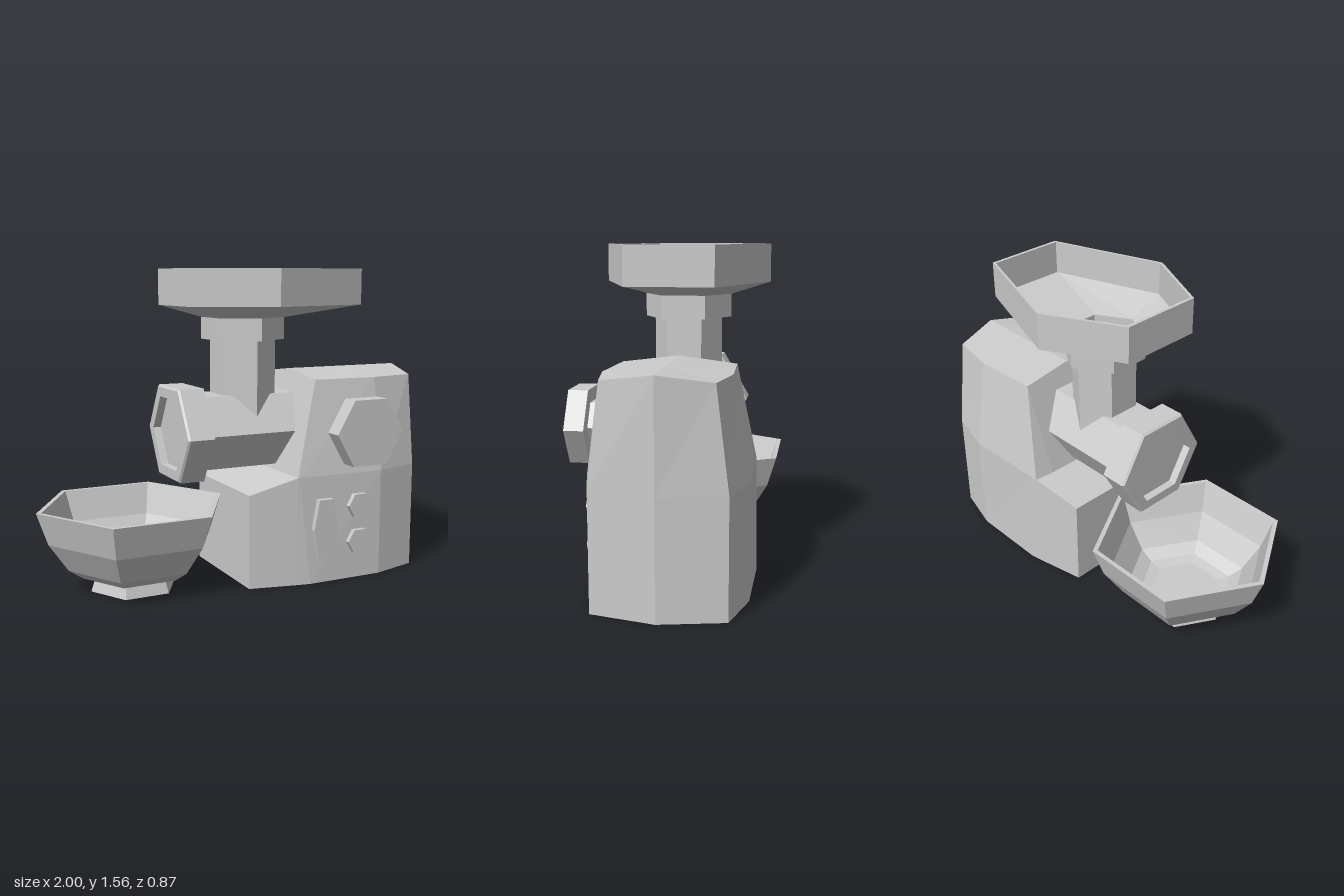
import * as THREE from 'three';

const solid = new THREE.MeshStandardMaterial({ color: 0xcccccc, flatShading: true });
const open = new THREE.MeshStandardMaterial({ color: 0xcccccc, flatShading: true, side: THREE.DoubleSide });
const ZC = -0.015; // middle plane of the machine

function add(group, name, geometry, material, x = 0, y = 0, z = 0) {
  const mesh = new THREE.Mesh(geometry, material);
  mesh.name = name;
  mesh.position.set(x, y, z);
  group.add(mesh);
  return mesh;
}

// Skin over a list of equal-length closed rings of [x, y, z]
function loft(rings, capStart = false) {
  const n = rings[0].length, index = [];
  for (let i = 0; i < rings.length - 1; i++) {
    for (let j = 0; j < n; j++) {
      const a = i * n + j, b = i * n + (j + 1) % n;
      index.push(a, a + n, b + n, a, b + n, b);
    }
  }
  if (capStart) for (let j = 1; j < n - 1; j++) index.push(0, j, j + 1);
  const g = new THREE.BufferGeometry();
  g.setAttribute('position', new THREE.Float32BufferAttribute(rings.flat(2), 3));
  g.setIndex(index);
  g.computeVertexNormals();
  return g;
}

// Six-sided lathe with a corner on +z, or on +x when start is a quarter turn
const hexLathe = (profile, start = 0) =>
  new THREE.LatheGeometry(profile.map(([r, y]) => new THREE.Vector2(r, y)), 6, start);

// Hexagonal prism along z with corners on the x axis
const hexPrismZ = (r, depth) =>
  new THREE.CylinderGeometry(r, r, depth, 6).rotateY(Math.PI / 2).rotateX(Math.PI / 2);

// Body section: [x, y, half width] for base, waist, shoulder, ridge
function bodyRing(base, waist, shoulder, ridge) {
  const side = [base, waist, shoulder];
  const at = s => ([x, y, w]) => [x, y, ZC + s * w];
  return [...side.map(at(1)), [ridge[0], ridge[1], ZC], ...side.reverse().map(at(-1))];
}

export function createModel() {
  const model = new THREE.Group();

  // Motor housing, stepped at the left of the front view and pointed at the other end
  add(model, 'body', loft([
    bodyRing([-0.03, 0, 0.3], [-0.03, 0.47, 0.3], [-0.03, 0.47, 0.2], [-0.03, 0.47]),
    bodyRing([0.21, 0, 0.352], [0.21, 0.545, 0.352], [0.21, 0.545, 0.25], [0.21, 0.545]),
    bodyRing([0.28, 0, 0.365], [0.22, 0.545, 0.353], [0.35, 1.015, 0.27], [0.36, 1.05]),
    bodyRing([0.69, 0, 0.365], [0.69, 0.545, 0.365], [0.69, 1.015, 0.287], [0.69, 1.05]),
    bodyRing([0.935, 0, 0.3], [0.935, 0.545, 0.3], [0.935, 1.015, 0.243], [0.935, 1.05]),
    bodyRing([1, 0, 0], [1, 0.545, 0], [1, 1.05, 0], [1, 1.05]),
  ], true), solid);

  // Horizontal grinding barrel and its end ring
  add(model, 'barrel', new THREE.CylinderGeometry(0.21, 0.21, 0.73, 6).rotateZ(Math.PI / 2),
    solid, 0.075, 0.755, ZC);
  add(model, 'barrelRing', hexLathe([
    [0.2, 0.195], [0.265, 0.195], [0.265, 0.32], [0.255, 0.33], [0.2, 0.33], [0.2, 0.195],
  ]).rotateZ(Math.PI / 2), open, 0, 0.755, ZC);

  // Feed neck with stepped collar, hollow
  add(model, 'feedNeck', hexLathe([
    [0.15, 0.8], [0.165, 0.8], [0.165, 1.21], [0.21, 1.21], [0.21, 1.32],
    [0.195, 1.32], [0.195, 1.22], [0.15, 1.22], [0.15, 0.8],
  ]), open, 0.08, 0, ZC);

  // Off-centre loading tray
  const hexRing = (r, y) => Array.from({ length: 6 }, (_, k) =>
    [0.08 - r * Math.sin(k * Math.PI / 3), y, ZC + r * Math.cos(k * Math.PI / 3)]);
  const outline = [[0.08, 0.385], [-0.295, 0.2], [-0.295, -0.215], [0.08, -0.415], [0.657, -0.215], [0.657, 0.185]];
  const trayRing = (s, y) => outline.map(([x, z]) => [0.18 + (x - 0.18) * s, y, ZC + (z - ZC) * s]);
  add(model, 'tray', loft([
    hexRing(0.21, 1.32), trayRing(1, 1.38), trayRing(1, 1.56),
    trayRing(0.965, 1.56), trayRing(0.96, 1.395), hexRing(0.195, 1.33),
  ]), open);

  // Bowl with foot
  const bowl = new THREE.Group();
  bowl.name = 'bowl';
  bowl.position.set(-0.52, 0, -0.02);
  model.add(bowl);
  add(bowl, 'bowlShell', hexLathe([
    [0, 0.055], [0.2, 0.055], [0.26, 0.072], [0.33, 0.12], [0.425, 0.26], [0.48, 0.42],
    [0.455, 0.42], [0.4, 0.265], [0.31, 0.135], [0.24, 0.095], [0.18, 0.085], [0, 0.085],
  ], Math.PI / 2), open);
  add(bowl, 'bowlFoot', new THREE.CylinderGeometry(0.2, 0.22, 0.06, 6).rotateY(Math.PI / 2), solid, 0, 0.03, 0);

  // Speed knob on its stem
  add(model, 'knobStem', hexPrismZ(0.12, 0.1), solid, 0.565, 0.76, 0.3);
  add(model, 'knob', hexPrismZ(0.19, 0.09), solid, 0.565, 0.76, 0.39);

  // Two buttons and a tall switch
  for (const y of [0.195, 0.38]) add(model, 'button', hexPrismZ(0.068, 0.045), solid, 0.555, y, 0.3525);
  const plate = new THREE.Shape([[0.068, 0], [0.04, 0.15], [-0.04, 0.15], [-0.068, 0], [-0.04, -0.15], [0.04, -0.15]]
    .map(([x, y]) => new THREE.Vector2(x, y)));
  add(model, 'switchPlate', new THREE.ExtrudeGeometry(plate, { depth: 0.045, bevelEnabled: false }),
    solid, 0.355, 0.28, 0.33);

  return model;
}
